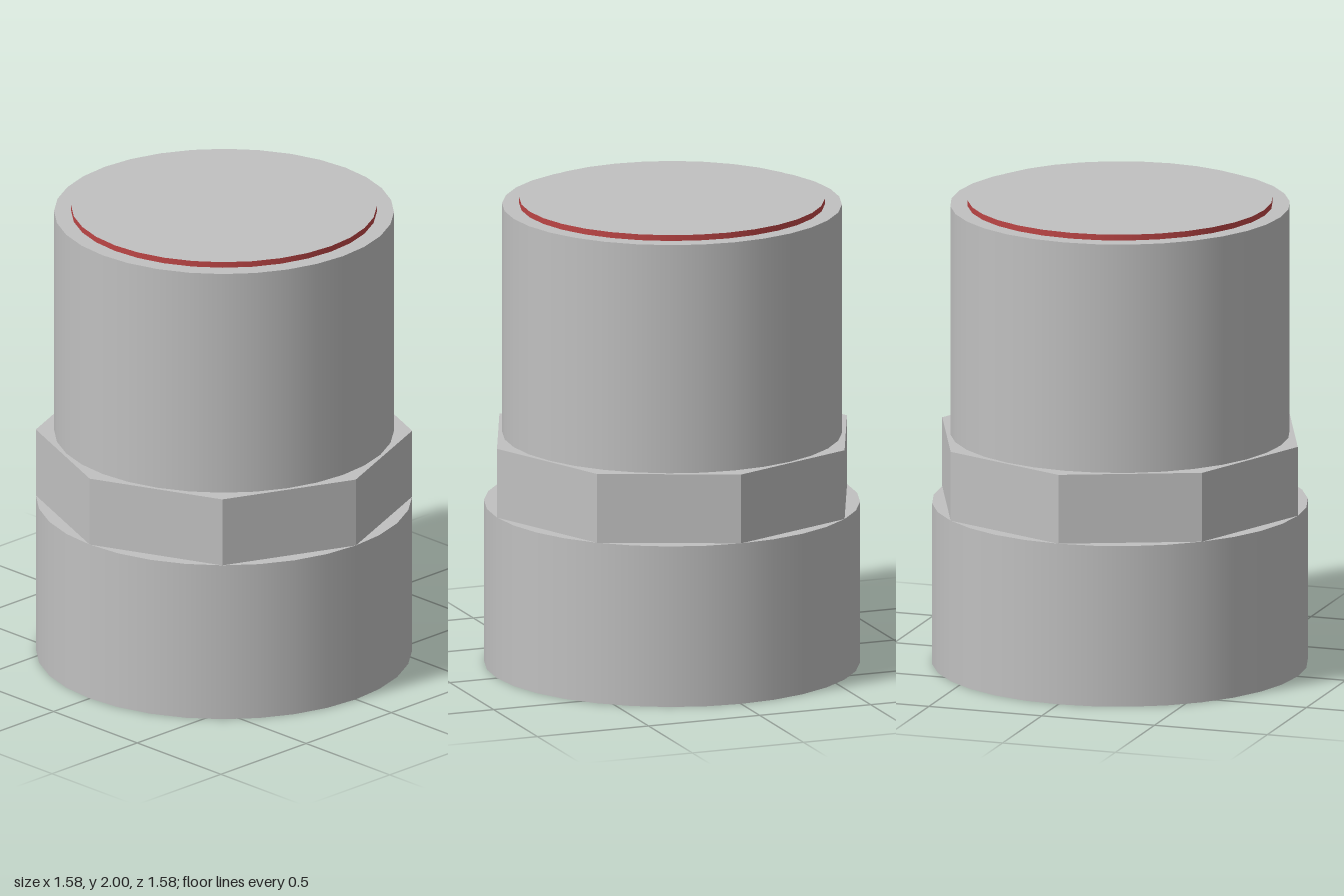
import * as THREE from 'three';

export function createModel() {
  const model = new THREE.Group();
  model.name = 'threadedFitting';

  const metal = new THREE.MeshStandardMaterial({ color: 0xc0c0c0 });
  metal.name = 'grey metal';
  const red = new THREE.MeshStandardMaterial({ color: 0xbc4545 });
  red.name = 'red seal';

  // Upright prism or cylinder between two heights
  function addDrum(name, radius, bottom, top, sides, material) {
    const geometry = new THREE.CylinderGeometry(radius, radius, top - bottom, sides);
    const mesh = new THREE.Mesh(geometry, material);
    mesh.name = name;
    mesh.position.y = (bottom + top) / 2;
    model.add(mesh);
    return mesh;
  }

  // Wide socket at the foot
  addDrum('baseSocket', 0.788, 0, 0.693, 32, metal);

  // Eight-sided wrench collar with sharp faces
  const collar = addDrum('wrenchCollar', 0.788, 0.693, 0.99, 8, metal);
  collar.geometry = collar.geometry.toNonIndexed();
  collar.geometry.computeVertexNormals();

  // Narrower upper barrel
  addDrum('upperBarrel', 0.712, 0.99, 1.975, 32, metal);

  // Thin end disc: red rim, grey faces (groups: side, top, bottom)
  addDrum('endDisc', 0.64, 1.975, 2, 32, [red, metal, metal]);

  return model;
}
